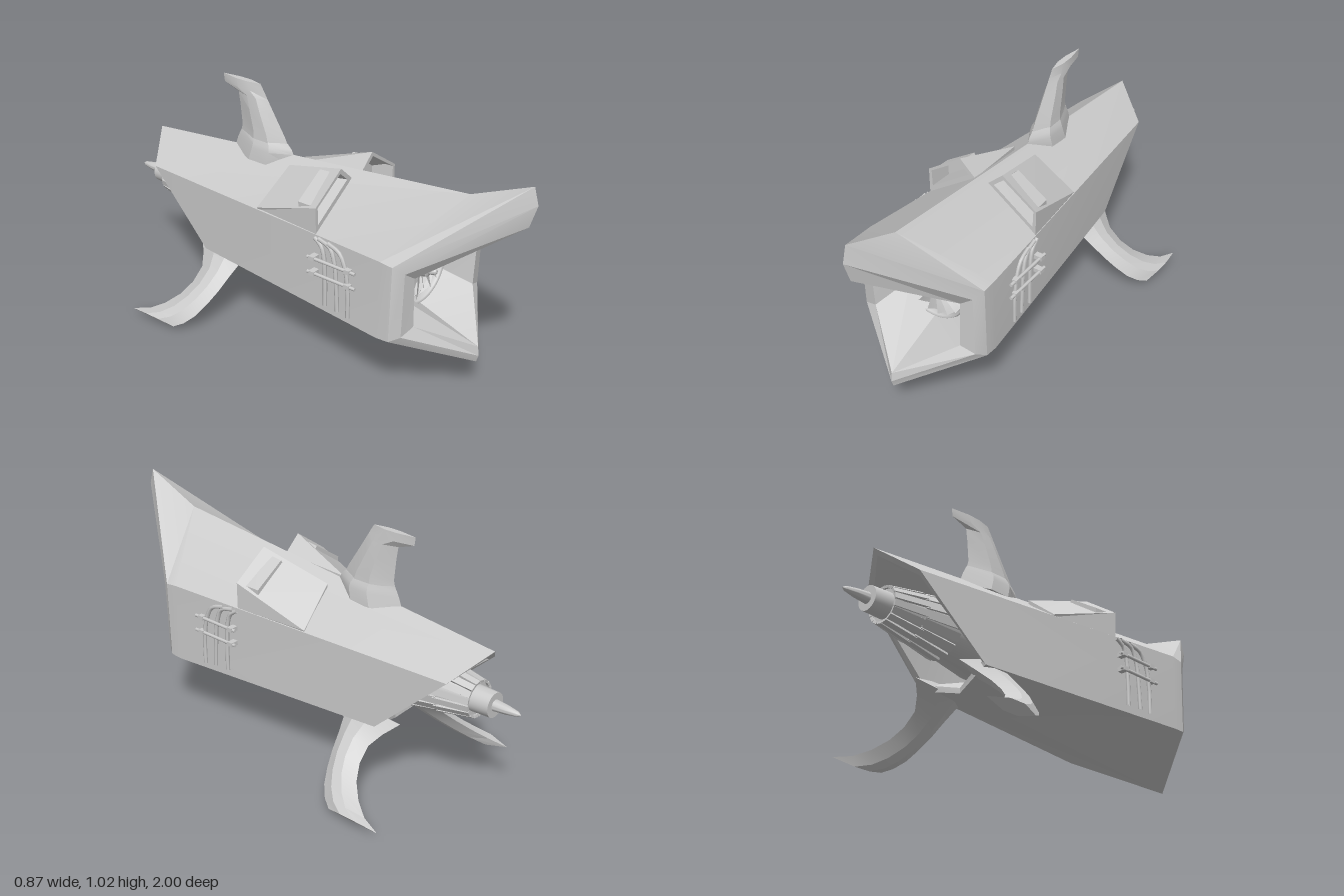
import * as THREE from 'three';
import { toCreasedNormals } from 'three/addons/utils/BufferGeometryUtils.js';

const material = new THREE.MeshStandardMaterial({ color: 0xcccccc, side: THREE.DoubleSide });
const AXIS_Y = 0.465;

function addMesh(parent, name, geometry) {
  const mesh = new THREE.Mesh(geometry, material);
  mesh.name = name;
  parent.add(mesh);
  return mesh;
}

// Skin a list of equal-length point rings, optionally capping the two ends
function loft(sections, capStart = true, capEnd = true, crease = 0.35) {
  const out = [];
  const tri = (a, b, c) => out.push(...a, ...b, ...c);
  const n = sections[0].length;
  for (let i = 0; i < sections.length - 1; i++) {
    const s = sections[i], t = sections[i + 1];
    for (let j = 0; j < n; j++) {
      const k = (j + 1) % n;
      tri(s[j], s[k], t[j]);
      tri(s[k], t[k], t[j]);
    }
  }
  const first = sections[0], last = sections[sections.length - 1];
  for (let j = 1; j < n - 1; j++) {
    if (capStart) tri(first[0], first[j + 1], first[j]);
    if (capEnd) tri(last[0], last[j], last[j + 1]);
  }
  const geometry = new THREE.BufferGeometry();
  geometry.setAttribute('position', new THREE.Float32BufferAttribute(out, 3));
  return toCreasedNormals(geometry, crease);
}

const mirror = (sections) => sections.map((s) => s.map(([x, y, z]) => [-x, y, z]).reverse());

// Hexagonal hull ring from ridge (y,z), upper corner, lower corner and keel (y,z)
function hullRing([ty, tz], [ux, uy, uz], [lx, ly, lz], [by, bz]) {
  return [[0, ty, tz], [ux, uy, uz], [lx, ly, lz], [0, by, bz], [-lx, ly, lz], [-ux, uy, uz]];
}

// Six-sided blade section, centred on (cx, cy), with thickness along (nx, ny)
function bladeSection(cx, cy, nx, ny, zf, zb, h) {
  const w = zf - zb;
  const p = (k, z) => [cx + nx * h * k, cy + ny * h * k, z];
  return [p(0, zf), p(1, zf - w * 0.3), p(1, zb + w * 0.4), p(0, zb), p(-1, zb + w * 0.4), p(-1, zf - w * 0.3)];
}

// Surface of revolution along the engine axis from [radius, z] pairs
function engineLathe(profile, segments = 32) {
  const g = new THREE.LatheGeometry(profile.map(([r, z]) => new THREE.Vector2(r, z)), segments);
  g.rotateX(Math.PI / 2);
  g.translate(0, AXIS_Y, 0);
  return toCreasedNormals(g, 0.5);
}

// Twisted, slightly swept fan blade pointing up
function fanBlade() {
  const g = new THREE.PlaneGeometry(1, 1, 2, 5);
  const p = g.attributes.position;
  for (let i = 0; i < p.count; i++) {
    const t = p.getY(i) + 0.5, u = p.getX(i);
    const width = 0.022 + 0.032 * t, twist = 0.9 - 0.35 * t;
    p.setXYZ(i, u * width * Math.cos(twist) + 0.012 * t * t, 0.025 + 0.125 * t, u * width * Math.sin(twist));
  }
  g.computeVertexNormals();
  return g;
}

export function createModel() {
  const model = new THREE.Group();
  model.name = 'enginePod';

  // Hull: intake funnel, rolled lip, outer skin and slanted tail opening
  addMesh(model, 'hull', loft([
    hullRing([0.62, 0.5], [0.14, 0.53, 0.49], [0.14, 0.4, 0.49], [0.31, 0.5]),
    hullRing([0.785, 0.97], [0.215, 0.55, 0.635], [0.205, 0.335, 0.63], [0.21, 0.795]),
    hullRing([0.88, 1.0], [0.265, 0.585, 0.625], [0.265, 0.31, 0.615], [0.17, 0.8]),
    hullRing([0.95, 0.98], [0.29, 0.61, 0.585], [0.29, 0.287, 0.575], [0.14, 0.79]),
    hullRing([0.84, 0.72], [0.292, 0.617, 0.53], [0.292, 0.285, 0.52], [0.15, 0.7]),
    hullRing([0.68, -0.87], [0.15, 0.57, -0.77], [0.18, 0.285, -0.46], [0.235, -0.42]),
    hullRing([0.655, -0.85], [0.132, 0.56, -0.755], [0.16, 0.305, -0.46], [0.258, -0.42]),
    hullRing([0.62, -0.45], [0.14, 0.54, -0.4], [0.13, 0.37, -0.27], [0.32, -0.22]),
  ], false, false));

  // Fan: ring, backing wall, blades and hub
  const fan = new THREE.Group();
  fan.name = 'fan';
  fan.position.set(0, AXIS_Y, 0.51);
  model.add(fan);
  addMesh(fan, 'fanRing', new THREE.TorusGeometry(0.15, 0.009, 8, 40)).scale.z = 2.5;
  addMesh(fan, 'fanBackWall', new THREE.CircleGeometry(0.152, 40)).position.z = -0.06;
  const bladeGeometry = fanBlade();
  const blades = 18;
  for (let i = 0; i < blades; i++) {
    addMesh(fan, 'fanBlade', bladeGeometry).rotation.z = (i / blades) * Math.PI * 2;
  }
  addMesh(model, 'fanHub', engineLathe(
    [[0.034, 0.45], [0.034, 0.54], [0.03, 0.555], [0.018, 0.56], [0.016, 0.575], [0.009, 0.59], [0, 0.593]], 20));

  // Engine core, exhaust nozzle and tail spike
  addMesh(model, 'engineCore', engineLathe(
    [[0, -1], [0.01, -0.985], [0.018, -0.94], [0.023, -0.885], [0.05, -0.885], [0.053, -0.8], [0.068, -0.8],
      [0.098, -0.63], [0.115, -0.5], [0.14, -0.35], [0.152, -0.1], [0.152, 0.5]]));
  const petalCount = 16;
  for (let i = 0; i < petalCount; i++) {
    const pivot = new THREE.Group();
    pivot.name = 'nozzlePetals';
    pivot.position.y = AXIS_Y;
    pivot.rotation.z = ((i + 0.5) / petalCount) * Math.PI * 2;
    model.add(pivot);
    for (const [r, z, length, width] of [[0.083, -0.74, 0.15, 0.025], [0.104, -0.6, 0.16, 0.033]]) {
      const petal = addMesh(pivot, 'nozzlePetal', new THREE.BoxGeometry(width, 0.01, length));
      petal.position.set(0, r, z);
      petal.rotation.x = -0.175;
    }
  }

  // Dorsal fin with its collar
  const fin = [[0.79, -0.15, -0.4, 0.038], [0.82, -0.165, -0.393, 0.035], [0.91, -0.222, -0.402, 0.027],
    [0.96, -0.253, -0.41, 0.02], [0.985, -0.268, -0.485, 0.017], [1.02, -0.29, -0.49, 0.013]];
  addMesh(model, 'dorsalFin', loft(fin.map(([y, zf, zb, h]) =>
    bladeSection(0, 0, 1, 0, zf, zb, h).map(([x, , z]) => [x, y, z]))));
  const collar = [[0.7, -0.13, -0.44, 0.055], [0.755, -0.12, -0.42, 0.05], [0.775, -0.13, -0.41, 0.045], [0.795, -0.15, -0.4, 0.036]];
  addMesh(model, 'finCollar', loft(collar.map(([y, zf, zb, h]) =>
    bladeSection(0, 0, 1, 0, zf, zb, h).map(([x, , z]) => [x, y, z]))));

  // Swept lower fins: centre x, y, leading z, trailing z, half thickness
  const leg = [[0.12, 0.3, -0.26, -0.54, 0.04], [0.165, 0.255, -0.29, -0.49, 0.032], [0.21, 0.212, -0.305, -0.458, 0.028],
    [0.265, 0.16, -0.32, -0.462, 0.027], [0.315, 0.113, -0.34, -0.49, 0.027], [0.36, 0.07, -0.365, -0.54, 0.026],
    [0.395, 0.038, -0.4, -0.6, 0.026], [0.418, 0.018, -0.44, -0.68, 0.025]];
  const legSections = leg.map(([x, y, zf, zb, h]) => bladeSection(x, y, -0.707, -0.707, zf, zb, h));

  // Wedge scoops with a recessed mouth
  const scoop = [
    [[0.105, 0.795, 0.1], [0.238, 0.708, 0.1], [0.235, 0.64, 0.1], [0.075, 0.755, 0.1]],
    [[0.105, 0.805, 0.2], [0.243, 0.712, 0.2], [0.24, 0.64, 0.2], [0.06, 0.765, 0.2]],
    [[0.1, 0.825, 0.2], [0.256, 0.716, 0.2], [0.254, 0.605, 0.2], [0.03, 0.76, 0.2]],
    [[0.05, 0.735, -0.1], [0.219, 0.6, -0.13], [0.215, 0.59, -0.13], [0.05, 0.715, -0.1]],
  ];

  // Side conduits as (y, z) paths lying just off the hull side
  const sideX = (z) => 0.239 + 0.1 * z;
  const conduits = [
    [[0.31, 0.375], [0.42, 0.375], [0.52, 0.36], [0.575, 0.33], [0.595, 0.27]],
    [[0.315, 0.32], [0.42, 0.315], [0.52, 0.305], [0.58, 0.28], [0.597, 0.22]],
    [[0.315, 0.255], [0.42, 0.255], [0.52, 0.25], [0.57, 0.235], [0.595, 0.2]],
  ];

  for (const side of [1, -1]) {
    const label = side > 0 ? 'left' : 'right';
    const place = (sections) => (side > 0 ? sections : mirror(sections));
    addMesh(model, label + 'LowerFin', loft(place(legSections)));
    addMesh(model, label + 'Scoop', loft(place(scoop)));
    for (const path of conduits) {
      const curve = new THREE.CatmullRomCurve3(path.map(([y, z]) => new THREE.Vector3(side * (sideX(z) + 0.002), y, z)));
      addMesh(model, label + 'Conduit', new THREE.TubeGeometry(curve, 16, 0.009, 6));
    }
    for (const y of [0.52, 0.455]) {
      const rod = addMesh(model, label + 'Rod', new THREE.CylinderGeometry(0.007, 0.007, 0.23, 8));
      rod.rotation.x = Math.PI / 2;
      rod.position.set(side * 0.288, y, 0.3);
      // Stand-offs tie each rod to the hull
      for (const z of [0.21, 0.38]) {
        addMesh(model, label + 'RodBracket', new THREE.BoxGeometry(0.035, 0.018, 0.025)).position.set(side * 0.28, y, z);
      }
    }
  }
  return model;
}
